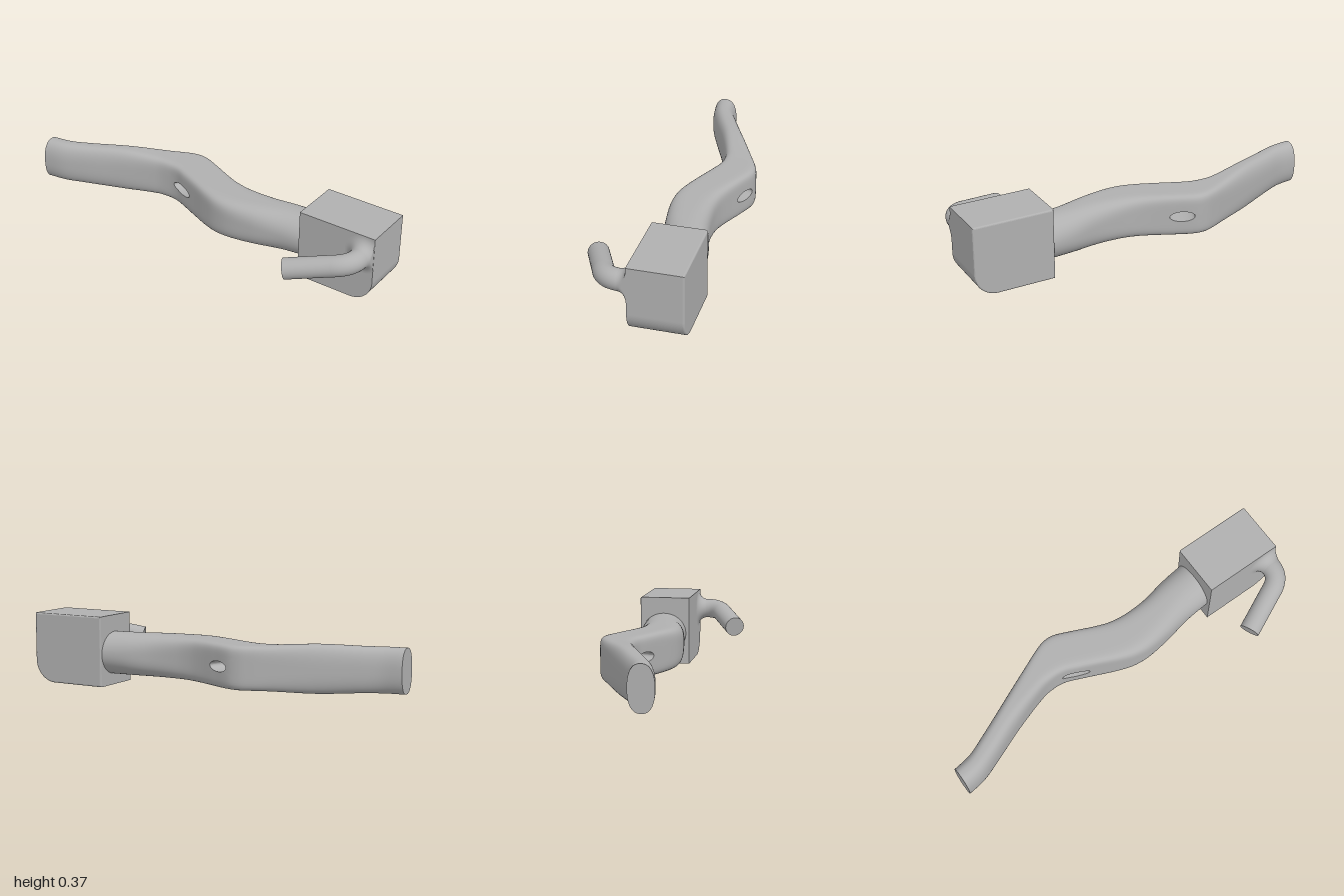
import * as THREE from 'three';

// Sections of the arm: x, back z, front z, half height, squareness
const SECTIONS = [
  [-1, -0.022, 0.107, 0.114, 2.4],
  [-0.9, -0.038, 0.09, 0.114, 2.5],
  [-0.8, -0.078, 0.052, 0.115, 2.7],
  [-0.6, -0.167, -0.033, 0.122, 3],
  [-0.4, -0.255, -0.103, 0.113, 4.5],
  [-0.32, -0.289, -0.113, 0.111, 6],
  [-0.26, -0.308, -0.106, 0.111, 7],
  [-0.2, -0.307, -0.082, 0.111, 7],
  [-0.1, -0.267, -0.039, 0.111, 7],
  [0, -0.225, 0.005, 0.111, 6],
  [0.08, -0.2, 0.032, 0.111, 5],
  [0.17, -0.191, 0.041, 0.111, 4],
  [0.3, -0.201, 0.028, 0.112, 3],
  [0.45, -0.235, 0.002, 0.112, 2.3],
  [0.6, -0.257, -0.01, 0.112, 2],
];
const MID_Y = 0.17;
const N = 80, STEP = (Math.PI * 2) / N;
// Openings of the through hole on the arm's skin
const HOLES = [
  { x: -0.21, t: 0, a: 0.07, b: 3 * STEP },
  { x: -0.13, t: Math.PI, a: 0.06, b: 3 * STEP },
];

// Smooth interpolation of one column of the section table
function column(x, k) {
  const S = SECTIONS, last = S.length - 1;
  let i = 0;
  while (i < last - 1 && x > S[i + 1][0]) i++;
  const slope = (n) => {
    const p = S[Math.max(n - 1, 0)], q = S[Math.min(n + 1, last)];
    return (q[k] - p[k]) / (q[0] - p[0]);
  };
  const d = S[i + 1][0] - S[i][0], u = (x - S[i][0]) / d;
  const u2 = u * u, u3 = u2 * u;
  return S[i][k] * (2 * u3 - 3 * u2 + 1) + slope(i) * d * (u3 - 2 * u2 + u)
    + S[i + 1][k] * (3 * u2 - 2 * u3) + slope(i + 1) * d * (u3 - u2);
}

// Point on the arm's skin at x and angle t (0 = front, PI/2 = top)
function skin(x, t) {
  const back = column(x, 1), front = column(x, 2), h = column(x, 3), n = column(x, 4);
  const c = Math.cos(t), s = Math.sin(t);
  const r = 1 / Math.pow(Math.abs(c) ** n + Math.abs(s) ** n, 1 / n);
  return new THREE.Vector3(x, MID_Y + h * r * s, (front + back) / 2 + ((front - back) / 2) * r * c);
}

// Surface from a grid of points, closed in j when wrap is set
function grid(point, ni, nj, wrap, skip = () => false) {
  const pos = [], index = [], cols = wrap ? nj : nj + 1;
  for (let i = 0; i <= ni; i++) for (let j = 0; j < cols; j++) pos.push(...point(i, j).toArray());
  for (let i = 0; i < ni; i++) for (let j = 0; j < nj; j++) {
    if (skip(i + 0.5, j + 0.5)) continue;
    const k = (j + 1) % cols;
    const a = i * cols + j, b = a + cols, c = (i + 1) * cols + k, d = i * cols + k;
    index.push(a, b, c, a, c, d);
  }
  const g = new THREE.BufferGeometry();
  g.setAttribute('position', new THREE.Float32BufferAttribute(pos, 3));
  g.setIndex(index);
  g.computeVertexNormals();
  return g;
}

const gridX = (i) => -1 + i * 0.01;
const gridT = (j) => (j - N / 4) * STEP;

// Grid point, with the lines around each hole bent from a square into an oval
function armPoint(i, j) {
  let x = gridX(i), t = gridT(j);
  for (const h of HOLES) {
    const u = (x - h.x) / h.a, v = (t - h.t) / h.b;
    const square = Math.max(Math.abs(u), Math.abs(v)), round = Math.hypot(u, v);
    if (square < 0.99 || square >= 2) continue;
    const k = THREE.MathUtils.lerp(square / round, 1, Math.max(square - 1, 0));
    return skin(h.x + h.a * u * k, h.t + h.b * v * k);
  }
  return skin(x, t);
}
const inHole = (i, j) => HOLES.some((h) =>
  Math.abs(gridX(i) - h.x) < h.a && Math.abs(gridT(j) - h.t) < h.b);

// Block outline with one large rounded lower corner
function blockShape() {
  const s = new THREE.Shape();
  s.moveTo(0.58, 0);
  s.lineTo(0.88, 0);
  s.absarc(0.88, 0.12, 0.12, -Math.PI / 2, 0, false);
  s.lineTo(1, 0.37);
  s.lineTo(0.58, 0.37);
  s.closePath();
  return s;
}

export function createModel() {
  const model = new THREE.Group();
  const grey = new THREE.MeshStandardMaterial({ color: 0xb0b0b0 });
  grey.name = 'grey';
  const add = (name, geometry, parent = model) => {
    const mesh = new THREE.Mesh(geometry, grey);
    mesh.name = name;
    parent.add(mesh);
    return mesh;
  };

  // Wavy arm with a hole through its bend
  const arm = new THREE.Group();
  arm.name = 'arm';
  model.add(arm);
  add('armSkin', grid(armPoint, 160, N, true, inHole), arm);
  const centre = new THREE.Vector3(-1, MID_Y, 0.042);
  add('armEnd', grid((i, j) => centre.clone().lerp(skin(-1, gridT(j)), i), 1, N, true), arm);
  add('holeWall', grid((i, j) => {
    const f = (i / 48) * Math.PI * 2, c = Math.cos(f), s = Math.sin(f);
    const [p, q] = HOLES;
    return skin(p.x + p.a * c, p.b * s).lerp(skin(q.x + q.a * c, Math.PI - q.b * s), j / 4);
  }, 48, 4, false), arm);

  // Block with softened back edges
  const block = new THREE.Group();
  block.name = 'block';
  model.add(block);
  const body = new THREE.ExtrudeGeometry(blockShape(), { depth: 0.268, bevelEnabled: false, curveSegments: 24 });
  add('blockBody', body.translate(0, 0, -0.258), block);
  const edge = new THREE.ExtrudeGeometry(blockShape(), {
    depth: 0.001, bevelThickness: 0.008, bevelSize: 0.008, bevelOffset: -0.008, bevelSegments: 3, curveSegments: 24,
  });
  add('blockBackEdge', edge.translate(0, 0, -0.258), block);

  // Bent peg, straight out of the block and then along it
  const path = new THREE.CurvePath();
  const points = [[0.943, 0.266, -0.01], [0.943, 0.266, 0.05], [0.945, 0.268, 0.13],
    [0.86, 0.25, 0.162], [0.651, 0.205, 0.257]].map((p) => new THREE.Vector3(...p));
  path.add(new THREE.LineCurve3(points[0], points[1]));
  path.add(new THREE.QuadraticBezierCurve3(points[1], points[2], points[3]));
  path.add(new THREE.LineCurve3(points[3], points[4]));
  const R = 0.053;
  add('peg', new THREE.TubeGeometry(path, 60, R, 32, false));
  const dir = points[4].clone().sub(points[3]).normalize();
  const tip = add('pegTip', new THREE.CircleGeometry(R, 32));
  tip.position.copy(points[4]);
  tip.quaternion.setFromUnitVectors(new THREE.Vector3(0, 0, 1), dir);

  // Flared root of the peg, trimmed to the block's edges
  const profile = [];
  for (let i = 0; i <= 10; i++) {
    const a = (i / 10) * Math.PI / 2;
    profile.push(new THREE.Vector2(R + 0.05 * (1 - Math.sin(a)), 0.01 + 0.05 * (1 - Math.cos(a))));
  }
  const root = new THREE.LatheGeometry(profile, 48).rotateX(Math.PI / 2).translate(0.943, 0.266, 0);
  const p = root.attributes.position;
  for (let i = 0; i < p.count; i++) p.setXY(i, Math.min(p.getX(i), 0.999), Math.min(p.getY(i), 0.369));
  root.computeVertexNormals();
  add('pegRoot', root);

  return model;
}
